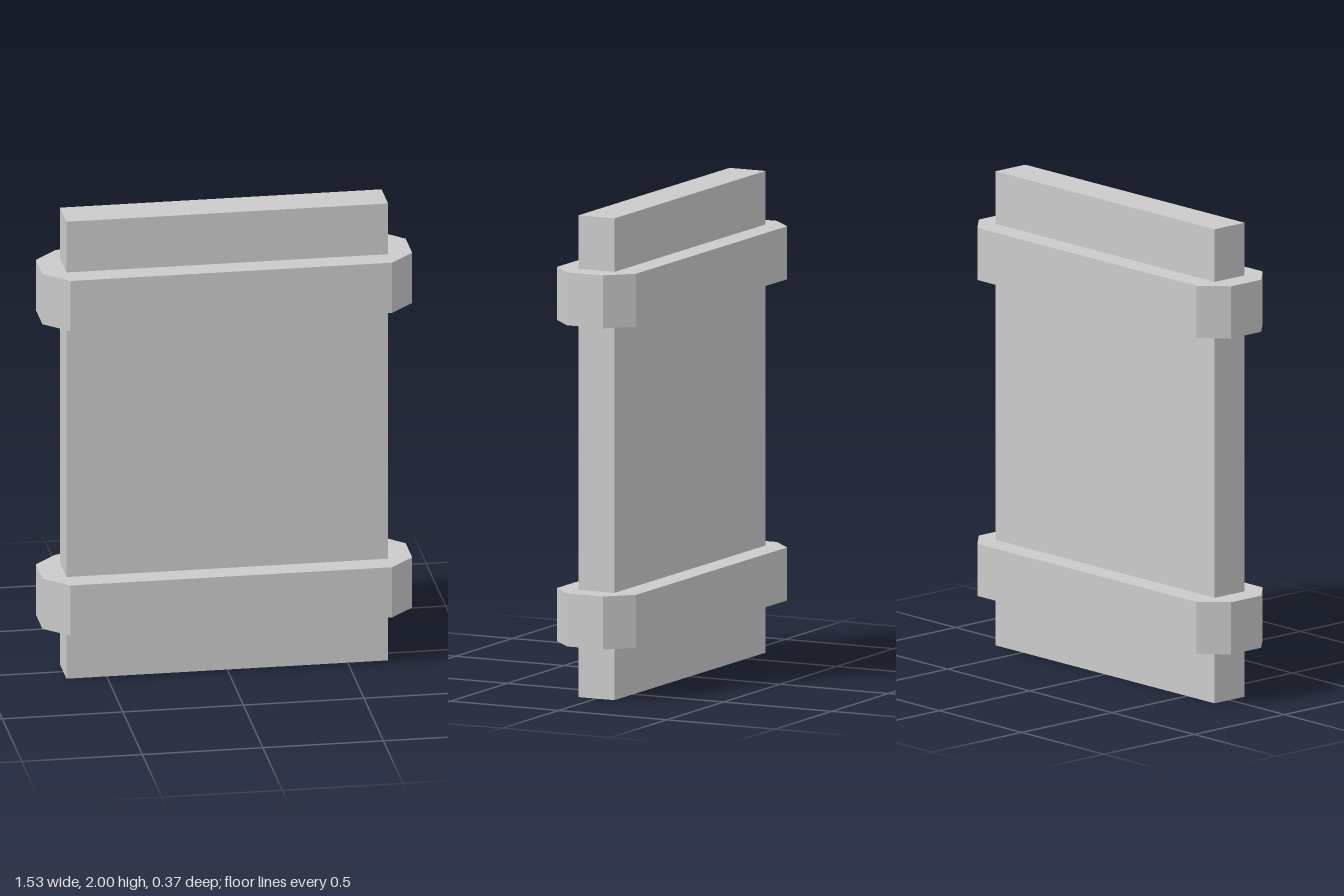
import * as THREE from 'three';

const HALF_W = 0.667, HALF_D = 0.083, RIM = 0.1, BAND_H = 0.22;

export function createModel() {
  const group = new THREE.Group();
  const material = new THREE.MeshStandardMaterial({ color: 0xcccccc, flatShading: true });

  // Upright slab
  const panel = new THREE.Mesh(new THREE.BoxGeometry(HALF_W * 2, 2, HALF_D * 2), material);
  panel.name = 'panel';
  panel.position.y = 1;
  group.add(panel);

  // Strap outline: the slab's footprint grown by the rim, with bevelled corners
  const w = HALF_W + RIM, d = HALF_D + RIM;
  const outline = new THREE.Shape([
    [w, -HALF_D], [w, HALF_D], [HALF_W, d], [-HALF_W, d],
    [-w, HALF_D], [-w, -HALF_D], [-HALF_W, -d], [HALF_W, -d],
  ].map(([x, z]) => new THREE.Vector2(x, z)));
  const bandGeometry = new THREE.ExtrudeGeometry(outline, { depth: BAND_H, bevelEnabled: false });
  bandGeometry.rotateX(-Math.PI / 2);

  // Two straps wrapped around the slab
  for (const [name, y] of [['lowerBand', 0.225], ['upperBand', 1.558]]) {
    const band = new THREE.Mesh(bandGeometry, material);
    band.name = name;
    band.position.y = y;
    group.add(band);
  }
  return group;
}
